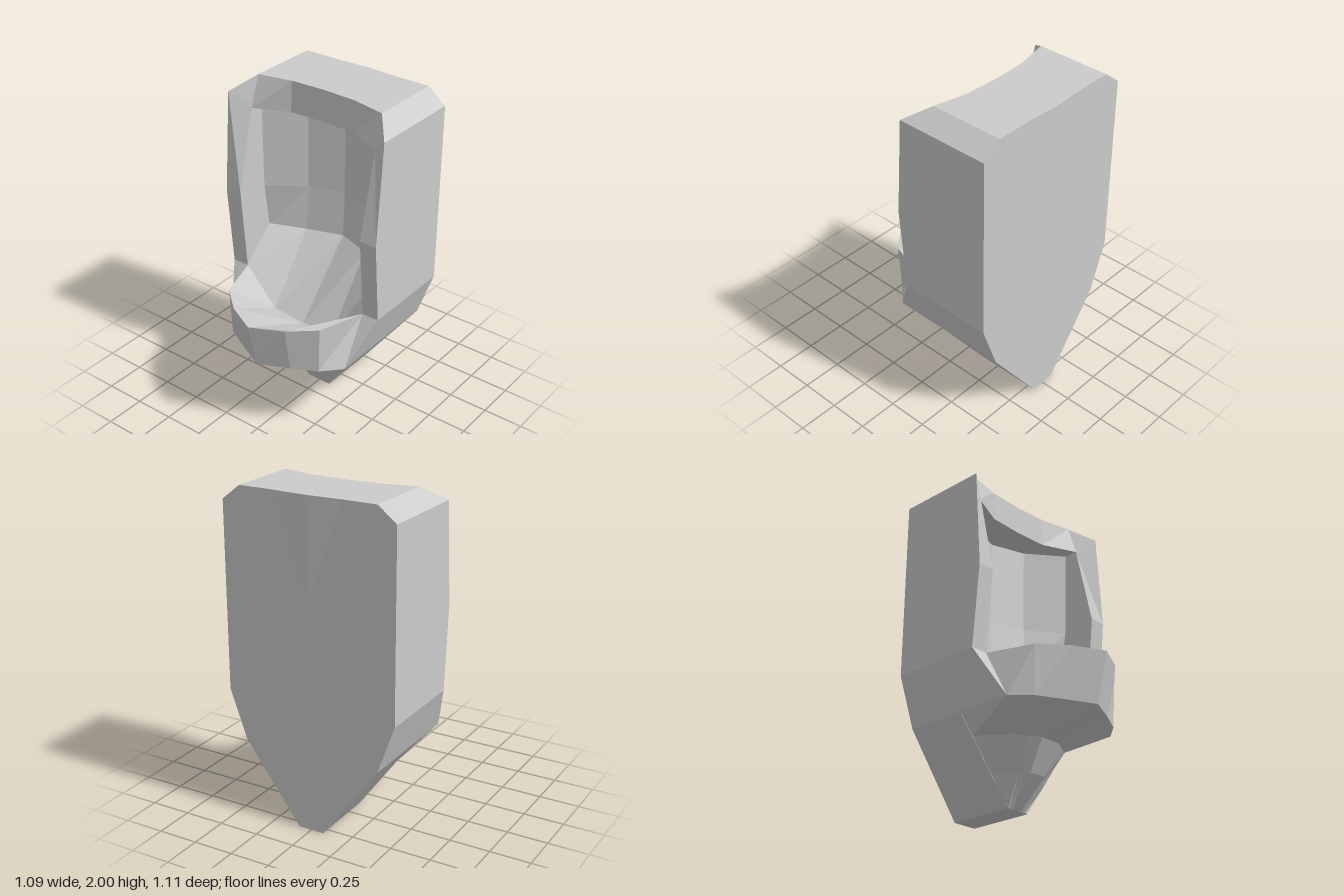
import * as THREE from 'three';

const material = new THREE.MeshStandardMaterial({ color: 0xcccccc, flatShading: true });

// Mirror a half section (running from +x to the centre line) into a full one.
const mirror = half => [...half, ...half.slice(0, -1).reverse().map(([x, y, z]) => [-x, y, z])];

// Faceted surface through a series of mirrored half sections.
function loft(name, halves) {
  const rows = halves.map(mirror);
  const positions = [];
  for (let r = 0; r < rows.length - 1; r++) {
    for (let c = 0; c < rows[r].length - 1; c++) {
      const a = rows[r][c], b = rows[r][c + 1];
      const d = rows[r + 1][c + 1], e = rows[r + 1][c];
      positions.push(...a, ...b, ...d, ...a, ...d, ...e);
    }
  }
  const geometry = new THREE.BufferGeometry();
  geometry.setAttribute('position', new THREE.Float32BufferAttribute(positions, 3));
  geometry.computeVertexNormals();
  const mesh = new THREE.Mesh(geometry, material);
  mesh.name = name;
  return mesh;
}

// Section at one height from [x, z] pairs.
const level = (y, pairs) => pairs.map(([x, z]) => [x, y, z]);

export function createModel() {
  const group = new THREE.Group();
  group.name = 'wallBasin';

  // Casing: front edge of the outline, from bottom centre up to top centre
  const casingFront = [
    [0, 0, -0.12], [0.08, 0, -0.12], [0.435, 0.48, -0.15], [0.435, 0.48, 0.21],
    [0.543, 0.78, 0.045], [0.543, 1.29, 0.09], [0.543, 1.91, 0.045],
    [0.43, 2, -0.09], [0.22, 2, -0.135], [0, 2, -0.145],
  ];
  const casingBack = casingFront.map(([x, y]) => [x, y, x === 0 && y === 2 ? -0.558 : -0.548]);
  const backCentre = casingBack.map(() => [0, 1.39, -0.548]);
  group.add(loft('casing', [casingBack, casingFront]));
  group.add(loft('backPanel', [backCentre, casingBack]));

  // Front frame around the opening
  const frameOuter = casingFront.slice(3);
  const corner = [0.435, 0.78, 0.045];
  const openingEdge = [
    corner, [0.435, 1.29, 0.09], [0.435, 1.81, -0.03],
    [0.435, 1.81, -0.03], [0.22, 1.81, -0.125], [0, 1.81, -0.135],
  ];
  group.add(loft('frontFrame', [frameOuter, [frameOuter[0], ...openingEdge]]));

  // Recess: side walls and ceiling, then the curved back
  const nicheTop = level(1.81, [[0.435, -0.12], [0.22, -0.29], [0, -0.36]]);
  const nicheMiddle = level(1.26, [[0.435, -0.13], [0.22, -0.29], [0, -0.36]]);
  const nicheBottom = [[0.435, 0.98, -0.17], [0.22, 0.97, -0.27], [0, 0.965, -0.35]];
  group.add(loft('recessSides', [
    [corner, corner, ...openingEdge.slice(1, 3), ...openingEdge.slice(4)],
    [corner, nicheBottom[0], nicheMiddle[0], ...nicheTop],
  ]));
  const floor = [corner, [0.22, 0.55, 0.045], [0, 0.53, 0.045]];
  group.add(loft('recessBack', [nicheTop, nicheMiddle, nicheBottom, floor]));

  // Projecting bowl: inside, then outer wall
  const rim = level(0.78, [[0.435, 0.045], [0.34, 0.33], [0.19, 0.46], [0, 0.555]]);
  const bowlBase = level(0.48, [[0.435, 0.21], [0.33, 0.32], [0.18, 0.4], [0, 0.485]]);
  group.add(loft('bowlInside', [[corner, ...floor], rim]));
  group.add(loft('bowlWall', [rim, bowlBase]));

  // Underside tapering to the narrow foot
  group.add(loft('underside', [
    [[0.435, 0.48, -0.15], ...bowlBase],
    level(0.36, [[0.346, -0.14], [0.21, 0.05], [0.14, 0.09], [0.07, 0.13], [0, 0.13]]),
    level(0.18, [[0.213, -0.13], [0.1, -0.02], [0.08, 0], [0.055, 0.03], [0, 0.03]]),
    level(0, [[0.08, -0.12], [0.06, -0.12], [0.04, -0.12], [0.02, -0.12], [0, -0.12]]),
  ]));

  return group;
}
